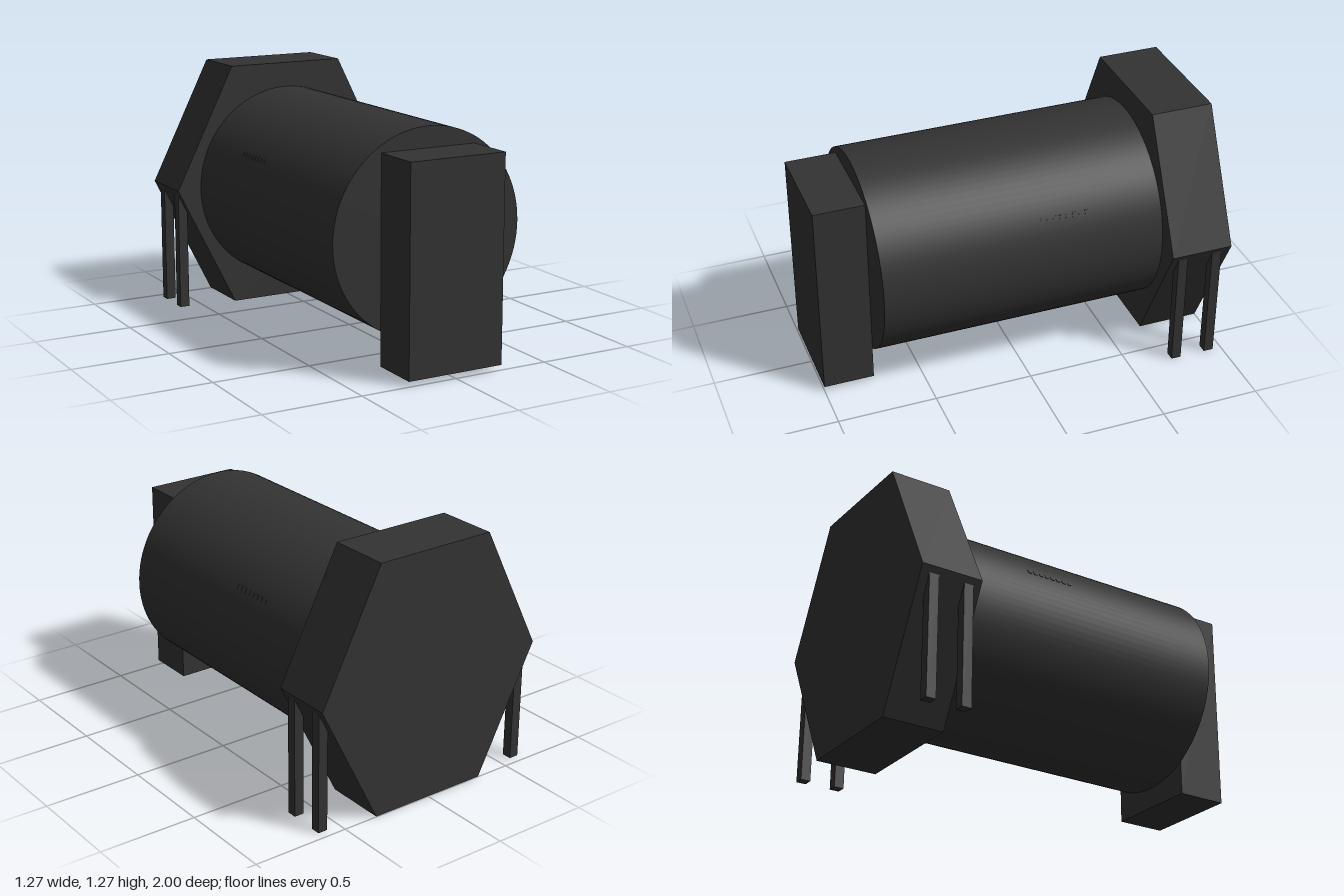
import * as THREE from 'three';

export function createModel() {
  const model = new THREE.Group();
  const charcoal = new THREE.MeshStandardMaterial({ color: 0x333333 });
  charcoal.name = 'charcoal';
  const axisY = 0.637;

  function add(name, geometry, x, y, z) {
    const mesh = new THREE.Mesh(geometry, charcoal);
    mesh.name = name;
    mesh.position.set(x, y, z);
    model.add(mesh);
    return mesh;
  }

  // Round body lying along z
  const body = new THREE.CylinderGeometry(0.507, 0.507, 1.43, 96);
  body.rotateX(Math.PI / 2);
  add('body', body, 0, axisY, 0.03);

  // Six-sided slab at the back, as tall as it is wide
  const outline = [[0.635, 0], [0.317, 0.635], [-0.317, 0.635], [-0.635, 0], [-0.317, -0.635], [0.317, -0.635]];
  const hexagon = new THREE.Shape(outline.map(([x, y]) => new THREE.Vector2(x, y)));
  add('backSlab', new THREE.ExtrudeGeometry(hexagon, { depth: 0.315, bevelEnabled: false }), 0, axisY, -1);

  // Upright block at the front
  add('frontBlock', new THREE.BoxGeometry(0.507, 1.015, 0.255), 0, 0.533, 0.8725);

  for (const side of [-1, 1]) {
    // Pair of thin legs under each corner of the slab
    for (const z of [-0.748, -0.93]) {
      add('leg', new THREE.BoxGeometry(0.05, 0.617, 0.05), side * 0.595, 0.3085, z);
    }

    // Row of tiny slats lying on the upper flank of the body
    const angle = 0.505;
    for (let i = 0; i < 8; i++) {
      const slat = add('slat', new THREE.BoxGeometry(0.004, 0.022, 0.018),
        side * 0.507 * Math.cos(angle), axisY + 0.507 * Math.sin(angle), -0.069 - i * 0.033);
      slat.rotation.z = side * angle;
    }
  }

  return model;
}
